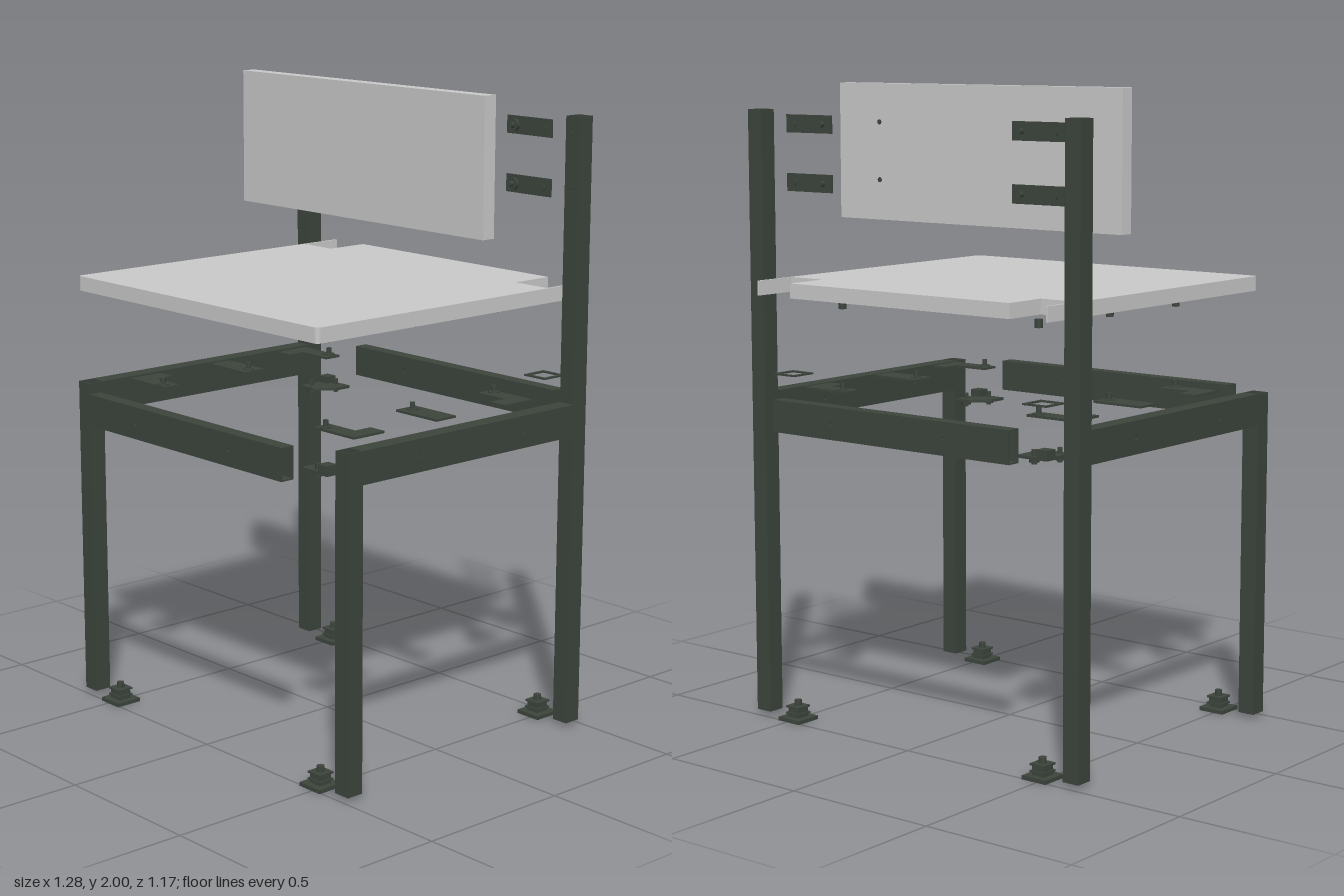
import * as THREE from 'three';

export function createModel() {
  const root = new THREE.Group();
  root.name = 'explodedChair';
  const steel = new THREE.MeshStandardMaterial({ color: 0x3c443c });
  steel.name = 'dark green steel';
  const board = new THREE.MeshStandardMaterial({ color: 0xc9c9c9 });
  board.name = 'light grey board';

  const group = (name, parent = root) => {
    const g = new THREE.Group();
    g.name = name;
    parent.add(g);
    return g;
  };
  const add = (parent, name, geo, mat, x = 0, y = 0, z = 0) => {
    const m = new THREE.Mesh(geo, mat);
    m.name = name;
    m.position.set(x, y, z);
    parent.add(m);
    return m;
  };
  const box = (parent, name, w, h, d, x, y, z) =>
    add(parent, name, new THREE.BoxGeometry(w, h, d), steel, x, y, z);
  const rod = (parent, name, r, h, x, y, z, sides = 16) =>
    add(parent, name, new THREE.CylinderGeometry(r, r, h, sides), steel, x, y, z);
  const polygon = (pts) => new THREE.Shape(pts.map(([x, y]) => new THREE.Vector2(x, y)));
  const drill = (shape, x, y, r) => {
    shape.holes.push(new THREE.Path().absarc(x, y, r, 0, Math.PI * 2, true));
    return shape;
  };
  const extrude = (shape, depth) =>
    new THREE.ExtrudeGeometry(shape, { depth, bevelEnabled: false, curveSegments: 8 });
  const rect = (w, h) => polygon([[-w / 2, -h / 2], [w / 2, -h / 2], [w / 2, h / 2], [-w / 2, h / 2]]);
  // Flat plate lying in the x-z plane with its underside at y = 0
  const flat = (shape, thick) => extrude(shape, thick).rotateX(Math.PI / 2).translate(0, thick, 0);

  // Hollow rectangular tube along x, open at both ends, holes along its front and back walls
  const T = 0.004;
  function tube(name, len, h, d, frontHoles = [], backHoles = []) {
    const g = group(name);
    [[1, frontHoles], [-1, backHoles]].forEach(([s, holes]) => {
      const shape = rect(len, h);
      holes.forEach((x) => drill(shape, x, 0, 0.007));
      add(g, 'tubeSide', extrude(shape, T), steel, 0, 0, s > 0 ? d / 2 - T : -d / 2);
      box(g, 'tubeEdge', len, T, d - 2 * T, 0, s * (h / 2 - T / 2), 0);
    });
    return g;
  }

  // Seat with rear notches that clear the posts
  const seat = new THREE.Shape();
  seat.moveTo(-0.55, 0.54);
  seat.quadraticCurveTo(-0.564, 0.54, -0.564, 0.526);
  [[-0.564, -0.54], [-0.557, -0.54], [-0.557, -0.395], [-0.427, -0.395], [-0.427, -0.54],
    [0.427, -0.54], [0.427, -0.395], [0.557, -0.395], [0.557, -0.54], [0.564, -0.54], [0.564, 0.526]]
    .forEach(([x, z]) => seat.lineTo(x, z));
  seat.quadraticCurveTo(0.564, 0.54, 0.55, 0.54);
  seat.closePath();
  add(root, 'seat', flat(seat, 0.046), board, 0, 1.355, 0);

  // Backrest with four fixing holes in its rear face
  add(root, 'backrest', new THREE.BoxGeometry(1.1, 0.425, 0.046), board, 0, 1.7875, -0.147);
  for (const x of [-0.385, 0.385]) for (const y of [1.7, 1.88])
    rod(root, 'backrestHole', 0.008, 0.002, x, y, -0.1705).rotation.x = Math.PI / 2;

  // Front and rear rails
  for (const s of [1, -1])
    tube(s > 0 ? 'frontRail' : 'rearRail', 0.92, 0.1, 0.046, [-0.22, 0.22], [-0.22, 0.22])
      .position.set(0, 0.995, s * 0.562);

  for (const s of [1, -1]) {
    // Side rail, front leg and rear post
    const rail = tube('sideRail', 0.87, 0.1, 0.056, [-0.22, 0.22], [-0.22, 0.22]);
    rail.rotation.y = Math.PI / 2;
    rail.position.set(s * 0.613, 0.995, 0);
    const leg = tube('frontLeg', 1.03, 0.056, 0.056);
    leg.rotation.z = Math.PI / 2;
    leg.position.set(s * 0.613, 0.53, 0.463);
    const post = tube('rearPost', 1.908, 0.056, 0.056, [0.731, 0.911]);
    post.rotation.z = Math.PI / 2;
    post.position.set(s * 0.613, 0.969, -0.463);

    // Collar that trims the seat around the post
    const ring = rect(0.088, 0.088);
    ring.holes.push(new THREE.Path(rect(0.066, 0.066).getPoints().reverse()));
    add(root, 'postCollar', flat(ring, 0.005), steel, s * 0.49, 1.107, -0.463);

    // Backrest brackets with their bolts
    for (const y of [1.7, 1.88]) {
      const b = group('backrestBracket');
      b.position.set(s * 0.385, y, -0.428);
      box(b, 'bracketPlate', 0.185, 0.055, 0.007, s * 0.058, 0, 0);
      for (const [r, len, z] of [[0.019, 0.012, 0.008], [0.009, 0.046, 0.005]])
        rod(b, 'backrestBolt', r, len, 0, 0, z).rotation.x = Math.PI / 2;
      rod(b, 'postBolt', 0.011, 0.014, s * 0.12, 0, 0).rotation.x = Math.PI / 2;
    }

    // Middle seat tab
    box(root, 'middleSeatTab', 0.175, 0.007, 0.08, s * 0.443, 1.051, 0);

    // Seat bolts and the inserts below the seat
    for (const z of [-0.35, 0, 0.35]) {
      rod(root, 'seatInsert', 0.012, 0.026, s * 0.385, 1.322, z);
      rod(root, 'seatBoltHead', 0.018, 0.01, s * 0.385, 1.053, z);
      rod(root, 'seatBolt', 0.008, 0.03, s * 0.385, 1.062, z);
    }

    for (const f of [1, -1]) {
      // L-shaped seat tab at each corner
      const tab = [[0.355, 0.31], [0.47, 0.31], [0.47, 0.25], [0.53, 0.25], [0.53, 0.37], [0.355, 0.37]];
      const mirrored = (pts) => polygon(pts.map(([x, z]) => [s * x, f * z]));
      add(root, 'cornerSeatTab', flat(mirrored(tab), 0.007), steel, 0, 1.047, 0);

      // Corner bracket joining the rails, with its bolts
      const corner = group('cornerBracket');
      const plate = [[0.36, 0.36], [0.41, 0.3], [0.47, 0.3], [0.47, 0.42], [0.36, 0.42]];
      add(corner, 'cornerPlate', flat(mirrored(plate), 0.009), steel, 0, 0.933, 0);
      box(corner, 'cornerBlock', 0.04, 0.025, 0.04, s * 0.45, 0.952, f * 0.4);
      for (const [x, z] of [[0.408, 0.4], [0.445, 0.325]]) {
        rod(corner, 'cornerBoltHead', 0.016, 0.014, s * x, 0.929, f * z, 6);
        rod(corner, 'cornerBolt', 0.008, 0.044, s * x, 0.938, f * z);
      }

      // Leg foot: base, ribbed plug and tip
      const foot = group('foot');
      foot.position.set(s * 0.49, 0, f * 0.463);
      box(foot, 'footBase', 0.088, 0.012, 0.088, 0, 0.006, 0);
      box(foot, 'footPlug', 0.044, 0.036, 0.044, 0, 0.03, 0);
      for (const y of [0.024, 0.045]) box(foot, 'footRib', 0.054, 0.006, 0.054, 0, y, 0);
      rod(foot, 'footTip', 0.012, 0.02, 0, 0.056, 0);
    }
  }
  return root;
}
